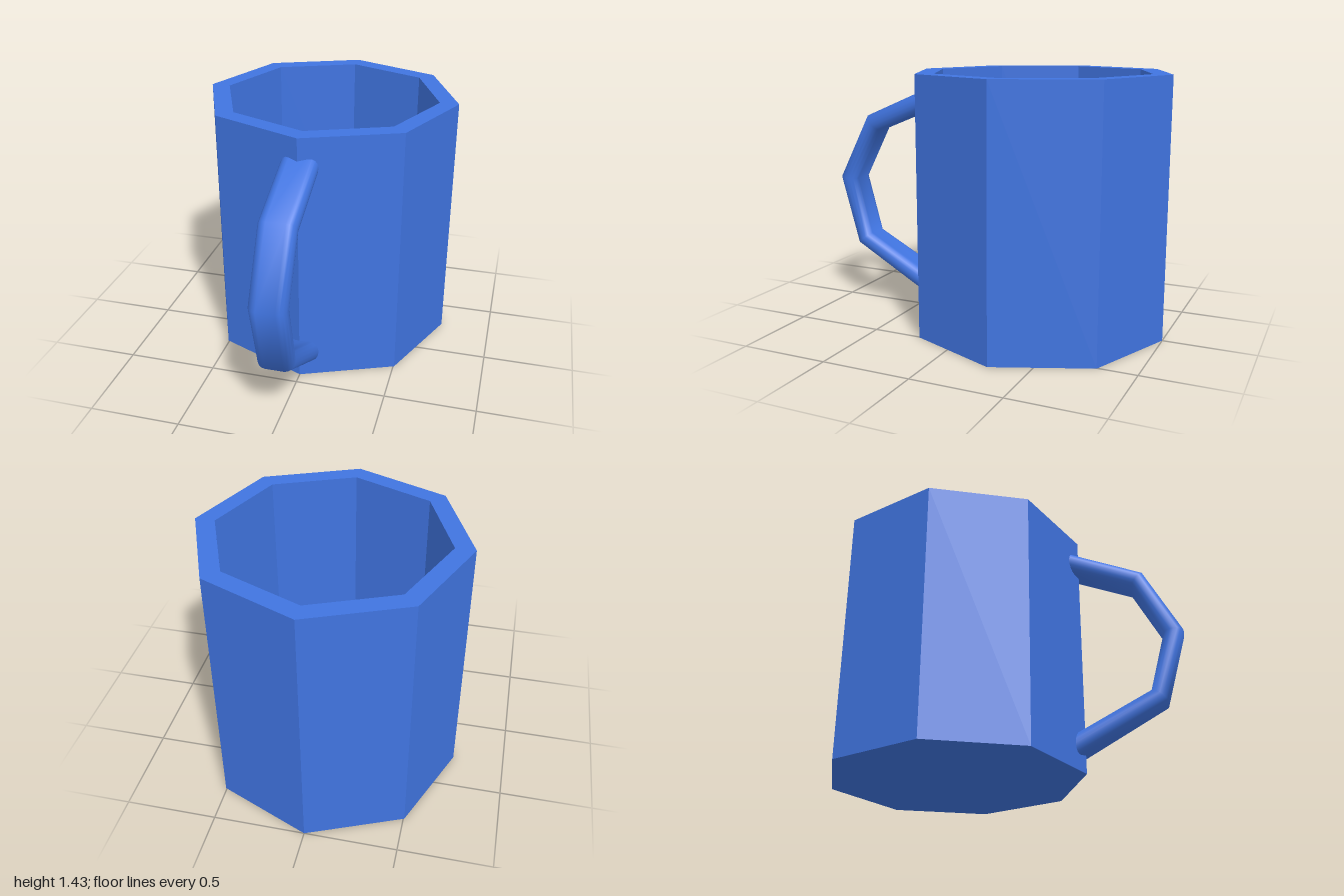
import * as THREE from 'three';

const blue = new THREE.MeshStandardMaterial({ color: 0x4074e0 });
blue.name = 'blue glaze';

// Eight-sided hollow cup with a solid floor
function makeCup() {
  const profile = [[0, 0], [0.715, 0], [0.715, 1.43], [0.61, 1.43], [0.61, 0.1], [0, 0.1]]
    .map(([r, y]) => new THREE.Vector2(r, y));
  const geometry = new THREE.LatheGeometry(profile, 8).toNonIndexed();
  geometry.computeVertexNormals(); // one normal per face keeps the facets flat
  const cup = new THREE.Mesh(geometry, blue);
  cup.name = 'cup';
  cup.position.z = -0.285;
  return cup;
}

// Angular strap handle: a pill section swept through five mitred joints
function makeHandle() {
  // outer z, outer y, inner z, inner y; both ends are buried in the wall
  const joints = [
    [0.36, 1.337, 0.36, 1.215],
    [0.80, 1.15, 0.73, 1.065],
    [1.00, 0.768, 0.89, 0.76],
    [0.885, 0.36, 0.80, 0.425],
    [0.36, 0.062, 0.36, 0.194],
  ];
  const section = [];
  for (const side of [1, -1]) {
    for (let k = 0; k <= 8; k++) {
      const a = -Math.PI / 2 + (k / 8) * Math.PI;
      section.push([side * (0.05 + 0.05 * Math.cos(a)), side * Math.sin(a)]);
    }
  }
  const n = section.length;
  const positions = [];
  const index = [];
  joints.forEach(([oz, oy, iz, iy], i) => {
    section.forEach(([x, v], j) => {
      const t = (v + 1) / 2; // 0 on the inner face, 1 on the outer
      positions.push(x, iy + (oy - iy) * t, iz + (oz - iz) * t);
      if (i === joints.length - 1) return;
      const a = i * n + j;
      const b = i * n + (j + 1) % n;
      index.push(a, b, b + n, a, b + n, a + n);
    });
  });
  const geometry = new THREE.BufferGeometry();
  geometry.setAttribute('position', new THREE.Float32BufferAttribute(positions, 3));
  geometry.setIndex(index);
  geometry.computeVertexNormals();
  const handle = new THREE.Mesh(geometry, blue);
  handle.name = 'handle';
  return handle;
}

export function createModel() {
  const mug = new THREE.Group();
  mug.name = 'mug';
  mug.add(makeCup(), makeHandle());
  return mug;
}
